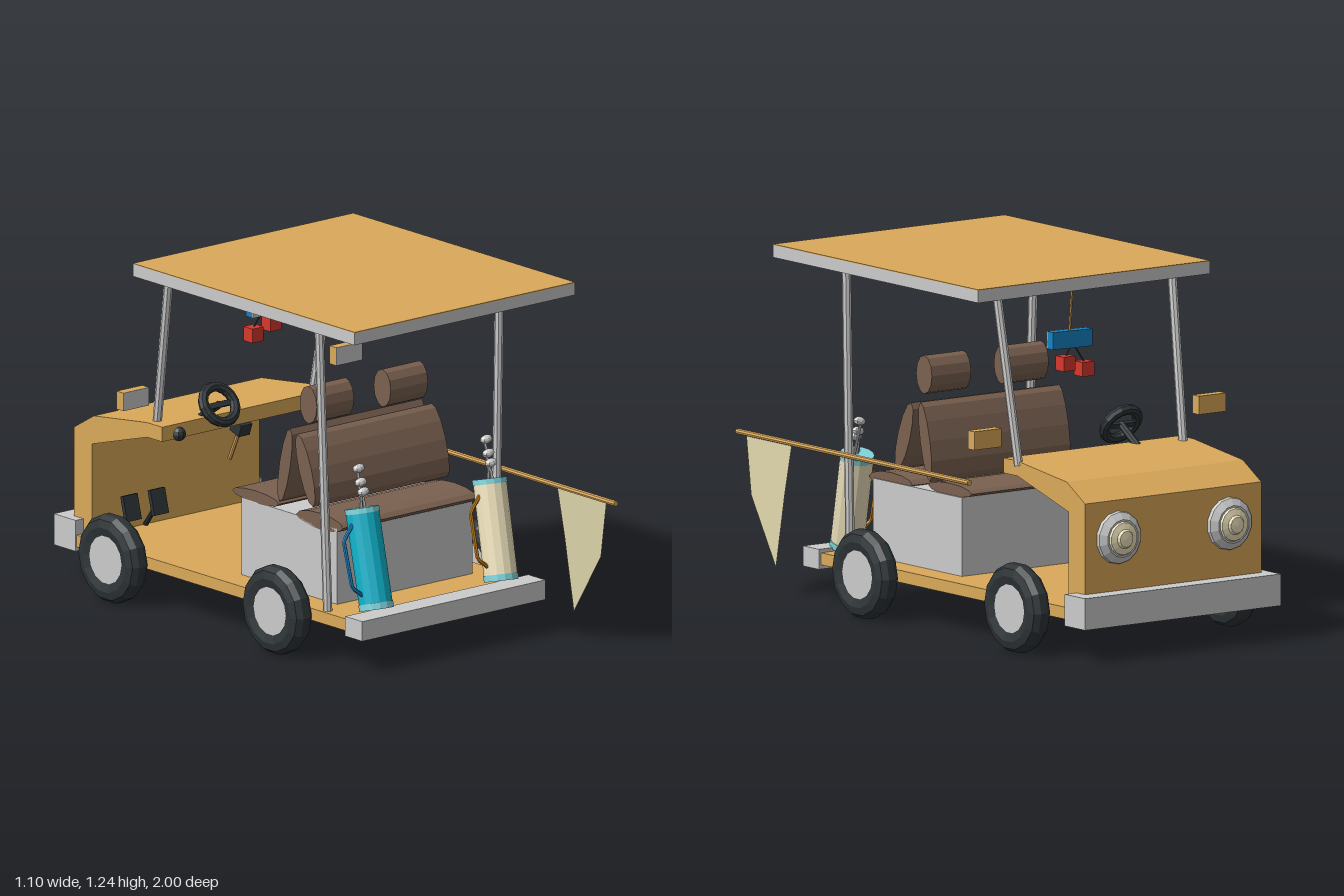
import * as THREE from 'three';

const mat = (color, extra = {}) => new THREE.MeshStandardMaterial({ color, flatShading: true, ...extra });
const GREY = mat(0xcccccc), GOLD = mat(0xdba95a), BLACK = mat(0x2e3437), BROWN = mat(0x7a6150);
const TEAL = mat(0x10b3cb), AQUA = mat(0x7fd3dc), CREAM = mat(0xeee3bd), BLUE = mat(0x1583c4);
const ORANGE = mat(0xc07c14), RED = mat(0xd8382c), CLOTH = mat(0xded6ab, { side: THREE.DoubleSide });
const V = (x, y, z) => new THREE.Vector3(x, y, z);

export function createModel() {
  const cart = new THREE.Group();
  cart.name = 'golfCart';

  const add = (name, geo, material, parent = cart) => {
    const m = new THREE.Mesh(geo, material);
    m.name = name;
    parent.add(m);
    return m;
  };
  // Box given by its extents
  const box = (name, material, x0, x1, y0, y1, z0, z1) => {
    const m = add(name, new THREE.BoxGeometry(x1 - x0, y1 - y0, z1 - z0), material);
    m.position.set((x0 + x1) / 2, (y0 + y1) / 2, (z0 + z1) / 2);
    return m;
  };
  // Cylinder between two points
  const rod = (name, material, a, b, r, sides = 8) => {
    const m = add(name, new THREE.CylinderGeometry(r, r, a.distanceTo(b), sides), material);
    m.position.copy(a).lerp(b, 0.5);
    m.quaternion.setFromUnitVectors(V(0, 1, 0), b.clone().sub(a).normalize());
    return m;
  };
  // Elliptical pad running along x; half sizes ry, rz, then tilted about x
  const pad = (name, x0, x1, y, z, ry, rz, tilt) => {
    const geo = new THREE.CylinderGeometry(1, 1, x1 - x0, 12);
    geo.rotateZ(Math.PI / 2).scale(1, ry, rz);
    const m = add(name, geo, BROWN);
    m.position.set((x0 + x1) / 2, y, z);
    m.rotation.x = tilt;
  };

  // Floor, bumpers and roof
  box('floor', GOLD, -0.43, 0.375, 0.145, 0.187, -0.9, 0.6);
  box('rearBumper', GREY, -0.44, 0.385, 0.13, 0.2, 0.54, 0.63);
  box('noseBumper', GREY, -0.435, 0.405, 0.13, 0.24, -1, -0.885);
  box('roof', GREY, -0.515, 0.478, 1.205, 1.248, -0.49, 0.677);
  box('roofTop', GOLD, -0.515, 0.478, 1.247, 1.251, -0.49, 0.677);

  // Hollow hood, bent from the dash down to the floor
  const profile = [[0.47, 0.6], [0.55, 0.6], [0.84, 0.515], [0.84, 0.18], [0.935, 0.18],
    [0.935, 0.555], [0.83, 0.617], [0.55, 0.652], [0.47, 0.652]];
  const hoodGeo = new THREE.ExtrudeGeometry(
    new THREE.Shape(profile.map(p => new THREE.Vector2(...p))), { depth: 0.755, bevelEnabled: false });
  hoodGeo.rotateY(Math.PI / 2).translate(-0.4, 0, 0);
  add('hood', hoodGeo, GOLD);

  // Headlamps
  const lampRim = [[0, 0], [0.093, 0], [0.09, 0.018], [0.066, 0.035], [0, 0.035]];
  const lampLens = [[0.062, 0.03], [0.056, 0.042], [0.034, 0.048], [0.028, 0.056], [0, 0.058]];
  for (const x of [-0.26, 0.215]) {
    for (const [name, pts, m] of [['lampRim', lampRim, GREY], ['lampLens', lampLens, CREAM]]) {
      const geo = new THREE.LatheGeometry(pts.map(p => new THREE.Vector2(...p)), 14);
      const lamp = add(name, geo, m);
      lamp.rotation.x = -Math.PI / 2;
      lamp.position.set(x, 0.425, -0.93);
    }
  }

  // Wheels
  const tyre = [[0.085, -0.034], [0.115, -0.042], [0.142, -0.034], [0.156, -0.014], [0.156, 0.014],
    [0.142, 0.034], [0.115, 0.042], [0.085, 0.034]].map(p => new THREE.Vector2(...p));
  for (const x of [-0.472, 0.428]) for (const z of [0.22, -0.645]) {
    const wheel = new THREE.Group();
    wheel.name = 'wheel';
    add('tyre', new THREE.LatheGeometry(tyre, 14), BLACK, wheel);
    add('hub', new THREE.CylinderGeometry(0.09, 0.09, 0.064, 14), GREY, wheel);
    wheel.rotation.z = Math.PI / 2;
    wheel.position.set(x, 0.163, z);
    cart.add(wheel);
  }

  // Roof posts
  rod('rearPost', GREY, V(0.352, 0.17, 0.405), V(0.358, 1.21, 0.42), 0.016);
  rod('rearPost', GREY, V(-0.405, 0.17, 0.408), V(-0.4, 1.21, 0.355), 0.016);
  rod('windshieldPost', GREY, V(0.35, 0.635, -0.55), V(0.37, 1.21, -0.455), 0.016);
  rod('windshieldPost', GREY, V(-0.355, 0.635, -0.55), V(-0.38, 1.21, -0.455), 0.016);

  // Back-to-back benches on their box
  box('seatBase', GREY, -0.33, 0.28, 0.18, 0.46, -0.135, 0.37);
  pad('rearCushion', -0.33, 0.275, 0.463, 0.277, 0.029, 0.123, 0);
  pad('driverCushion', -0.33, 0.275, 0.478, -0.06, 0.022, 0.123, 0);
  pad('rearBackrest', -0.333, 0.273, 0.628, 0.205, 0.128, 0.034, -0.33);
  pad('driverBackrest', -0.325, 0.27, 0.622, 0.088, 0.138, 0.028, 0.2);
  for (const x of [-0.195, 0.138]) pad('headrest', x - 0.084, x + 0.084, 0.842, 0.158, 0.067, 0.045, 0);

  // Steering wheel and column
  const steering = add('steeringWheel', new THREE.TorusGeometry(0.066, 0.018, 8, 16), BLACK);
  steering.position.set(-0.19, 0.707, -0.415);
  steering.rotation.x = -0.59;
  const spoke = add('steeringSpoke', new THREE.BoxGeometry(0.13, 0.02, 0.012), BLACK, steering);
  spoke.position.z = -0.004;
  rod('steeringColumn', BLACK, V(-0.19, 0.707, -0.415), V(-0.19, 0.63, -0.53), 0.014);

  // Gear lever, dash knob and pedals
  const grip = box('leverGrip', BLACK, -0.04, 0.01, 0.555, 0.6, -0.53, -0.48);
  grip.rotation.x = 0.35;
  rod('lever', GOLD, V(-0.015, 0.57, -0.51), V(-0.028, 0.457, -0.55), 0.008);
  const knob = add('dashKnob', new THREE.SphereGeometry(0.025, 8, 6), BLACK);
  knob.position.set(-0.325, 0.615, -0.47);
  for (const x of [-0.29, -0.167]) {
    const pedal = box('pedal', BLACK, x - 0.033, x + 0.033, 0.24, 0.33, -0.77, -0.755);
    pedal.rotation.x = -0.25;
    rod('pedalArm', BLACK, V(x, 0.28, -0.765), V(x, 0.19, -0.83), 0.009);
  }

  // Side mirrors with grey glass facing the driver
  for (const [x, y, z] of [[-0.492, 0.762, -0.517], [0.488, 0.742, -0.54]]) {
    box('sideMirror', GOLD, x - 0.058, x + 0.058, y - 0.032, y + 0.032, z - 0.018, z + 0.015);
    box('sideMirrorGlass', GREY, x - 0.058, x + 0.058, y - 0.032, y + 0.032, z + 0.014, z + 0.018);
  }

  // Rear-view mirror with hanging dice
  rod('mirrorStem', GOLD, V(0.045, 1.21, -0.45), V(0.035, 1.03, -0.42), 0.005, 6);
  box('mirrorBody', BLUE, -0.057, 0.112, 0.995, 1.055, -0.43, -0.397).rotation.z = 0.02;
  box('mirrorGlass', GREY, -0.057, 0.112, 0.995, 1.055, -0.398, -0.392).rotation.z = 0.02;
  for (const [x, y, top] of [[-0.015, 0.922, 0.015], [0.066, 0.948, 0.035]]) {
    box('die', RED, x - 0.025, x + 0.025, y - 0.025, y + 0.025, -0.463, -0.415);
    rod('dieString', BLACK, V(x, y + 0.02, -0.44), V(top, 1.0, -0.425), 0.003, 5);
  }

  // Golf bags with bands, a carrying handle and clubs
  const bag = (material, handleMaterial, foot, top, lean) => {
    const at = t => foot.clone().lerp(top, t);
    rod('bagBody', material, at(0), at(1), 0.058, 14);
    rod('bagBottomBand', AQUA, at(-0.005), at(0.06), 0.06, 14);
    rod('bagTopBand', AQUA, at(0.95), at(1.005), 0.06, 14);
    const handle = new THREE.CurvePath();
    const pts = [[-0.045, 0.88], [-0.1, 0.72], [-0.093, 0.25], [-0.045, 0.14]]
      .map(([dx, t]) => at(t).add(V(dx, 0, 0)));
    for (let i = 0; i < 3; i++) handle.add(new THREE.LineCurve3(pts[i], pts[i + 1]));
    add('bagHandle', new THREE.TubeGeometry(handle, 18, 0.007, 6), handleMaterial);
    [[0, 0.06, 0.01], [0.014, 0.085, -0.02], [0.03, 0.125, -0.05]].forEach(([dx, dy, dz], i) => {
      const tip = top.clone().add(V(dx + lean, dy, dz));
      rod('clubShaft', GREY, at(0.8).add(V((i - 1) * 0.02, 0, 0)), tip, 0.005, 6);
      const head = add('clubHead', new THREE.SphereGeometry(1, 8, 6), GREY);
      head.scale.set(0.025, 0.015, 0.017);
      head.rotation.z = 0.2;
      head.position.copy(tip).add(V(0.008, 0, 0));
    });
  };
  bag(TEAL, BLUE, V(-0.294, 0.2, 0.535), V(-0.279, 0.535, 0.44), -0.01);
  bag(CREAM, ORANGE, V(0.268, 0.2, 0.535), V(0.296, 0.535, 0.44), -0.01);

  // Flag laid along the side, its cloth hanging and slightly bulged
  rod('flagPole', GOLD, V(0.387, 0.548, 1), V(0.387, 0.548, -0.32), 0.01);
  const cloth = [[0.95, 0.545], [0.69, 0.545], [0.72, 0.37], [0.755, 0.11], [0.91, 0.34]];
  const clothGeo = new THREE.ShapeGeometry(new THREE.Shape(cloth.map(([z, y]) => new THREE.Vector2(-z, y))));
  clothGeo.rotateY(Math.PI / 2);
  const p = clothGeo.attributes.position;
  for (let i = 0; i < p.count; i++) p.setX(i, 0.387 + 0.045 * (0.545 - p.getY(i)));
  clothGeo.computeVertexNormals();
  add('flagCloth', clothGeo, CLOTH);

  return cart;
}
